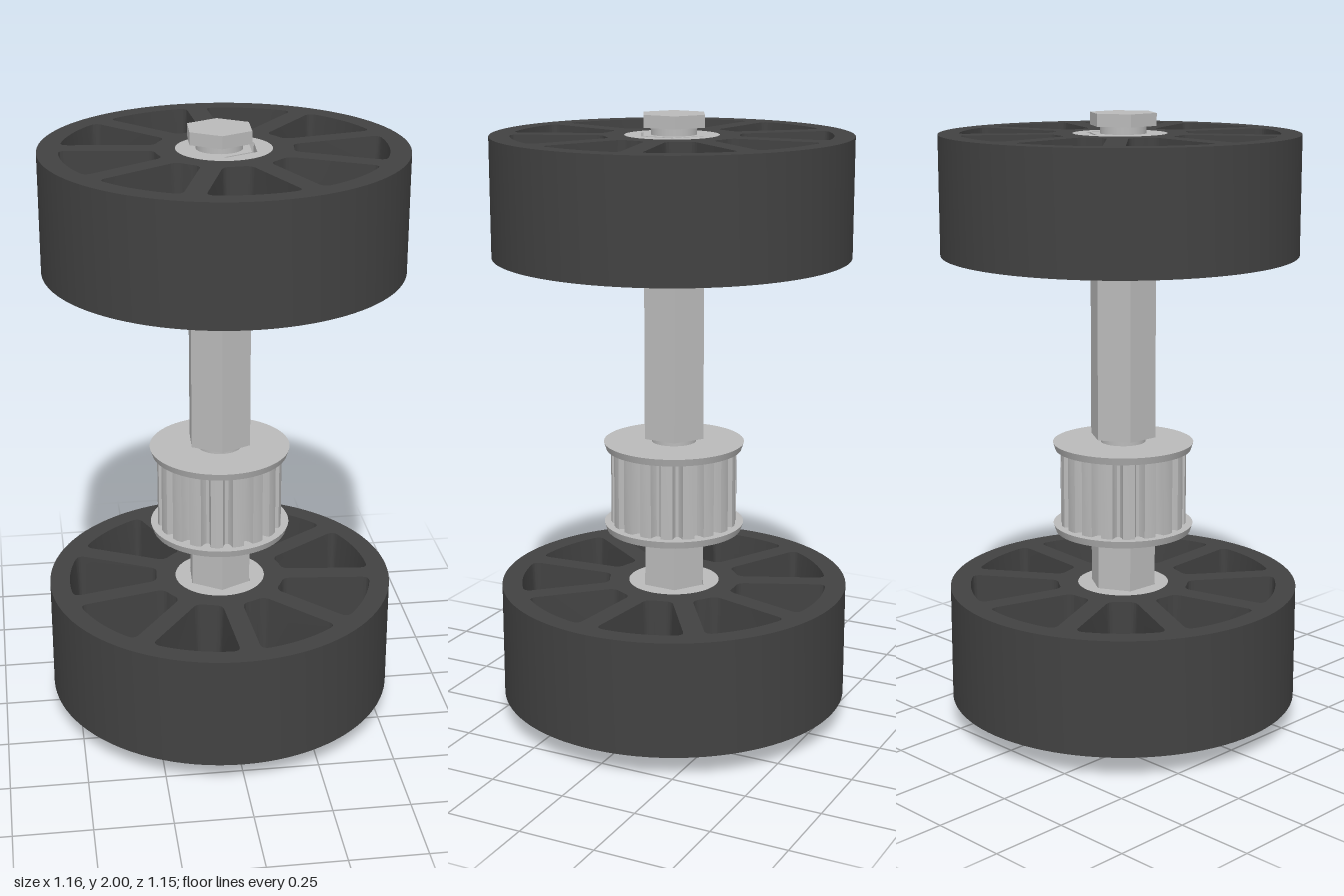
import * as THREE from 'three';
import { toCreasedNormals } from 'three/addons/utils/BufferGeometryUtils.js';

const rubber = new THREE.MeshStandardMaterial({ color: 0x424242 });
rubber.name = 'dark rubber';
const metal = new THREE.MeshStandardMaterial({ color: 0xbababa });
metal.name = 'light metal';

const AXIS_X = -0.01;
const HEX_TURN = -0.05;
const WHEEL_R = 0.573, WHEEL_H = 0.38, HUB_R = 0.15, WEB_R = 0.54;
const SPOKES = 9;

function addMesh(parent, name, geometry, material, y = 0) {
  const mesh = new THREE.Mesh(geometry, material);
  mesh.name = name;
  mesh.position.y = y;
  parent.add(mesh);
  return mesh;
}

// Extrude a plan shape upward; the optional draft tapers holes toward mid height
function extrudeUp(shape, height, draft = 0) {
  const mid = draft ? 0.02 : height;
  const thick = (height - mid) / 2;
  const g = new THREE.ExtrudeGeometry(shape, {
    depth: mid, curveSegments: 48, bevelEnabled: draft > 0,
    bevelThickness: thick, bevelSize: draft, bevelSegments: 1,
  });
  g.translate(0, 0, thick);
  g.rotateX(-Math.PI / 2);
  return toCreasedNormals(g, 0.5);
}

function circle(r, Type = THREE.Shape) {
  const path = new Type();
  path.absarc(0, 0, r, 0, Math.PI * 2, false);
  return path;
}

// Rounded window between two constant-width spokes
function windowPath(middle) {
  const inner = 0.215, outer = 0.507, halfSpoke = 0.033, c = 0.028;
  const half = r => Math.PI / SPOKES - Math.asin(halfSpoke / r);
  const at = (r, a) => [r * Math.cos(middle + a), r * Math.sin(middle + a)];
  const ho = half(outer), hi = half(inner), co = c / outer, ci = c / inner;
  const p = new THREE.Path();
  p.moveTo(...at(outer, -ho + co));
  p.absarc(0, 0, outer, middle - ho + co, middle + ho - co, false);
  p.quadraticCurveTo(...at(outer, ho), ...at(outer - c, half(outer - c)));
  p.lineTo(...at(inner + c, half(inner + c)));
  p.quadraticCurveTo(...at(inner, hi), ...at(inner, hi - ci));
  p.absarc(0, 0, inner, middle + hi - ci, middle - hi + ci, true);
  p.quadraticCurveTo(...at(inner, -hi), ...at(inner + c, -half(inner + c)));
  p.lineTo(...at(outer - c, -half(outer - c)));
  p.quadraticCurveTo(...at(outer, -ho), ...at(outer, -ho + co));
  return p;
}

function makeWheel(name, x, y, spokeDegrees) {
  const wheel = new THREE.Group();
  wheel.name = name;
  wheel.position.set(x, y, 0);

  // Tyre band
  const tyre = circle(WHEEL_R);
  tyre.holes.push(circle(WEB_R, THREE.Path));
  addMesh(wheel, 'tyre', extrudeUp(tyre, WHEEL_H), rubber);

  // Spoked web
  const web = circle(WEB_R);
  web.holes.push(circle(HUB_R, THREE.Path));
  for (let i = 0; i < SPOKES; i++) {
    const middle = THREE.MathUtils.degToRad(spokeDegrees) + (i + 0.5) * 2 * Math.PI / SPOKES;
    web.holes.push(windowPath(middle));
  }
  addMesh(wheel, 'spokes', extrudeUp(web, WHEEL_H, 0.008), rubber);

  // Metal hub with a hexagonal bore
  const hub = circle(HUB_R);
  const bore = [];
  for (let i = 0; i < 6; i++) {
    const a = Math.PI / 2 + HEX_TURN + i * Math.PI / 3;
    bore.push(new THREE.Vector2(0.112 * Math.cos(a), 0.112 * Math.sin(a)));
  }
  hub.holes.push(new THREE.Path(bore));
  addMesh(wheel, 'hub', extrudeUp(hub, WHEEL_H), metal);
  return wheel;
}

// Hexagonal shaft with turned grooves between its sections
function makeShaft() {
  const shaft = new THREE.Group();
  shaft.name = 'shaft';
  shaft.rotation.y = HEX_TURN;
  for (const [low, high] of [[0, 0.05], [0.075, 0.933], [0.957, 1.935], [1.96, 2]]) {
    const g = new THREE.CylinderGeometry(0.11, 0.11, high - low, 6).toNonIndexed();
    g.computeVertexNormals();
    addMesh(shaft, 'hexSection', g, metal, (low + high) / 2);
  }
  for (const [low, high] of [[0.05, 0.075], [0.933, 0.957], [1.935, 1.96]]) {
    addMesh(shaft, 'groove', new THREE.CylinderGeometry(0.073, 0.073, high - low, 32), metal, (low + high) / 2);
  }
  return shaft;
}

// Toothed belt pulley between two flanges
function makePulley() {
  const pulley = new THREE.Group();
  pulley.name = 'pulley';
  const teeth = 18, pitch = 2 * Math.PI / teeth;
  const profile = [[-0.27, 0.205], [0, 0.207], [0.27, 0.205], [0.33, 0.187], [0.42, 0.177], [0.58, 0.177], [0.67, 0.187]];
  const points = [];
  for (let i = 0; i < teeth; i++) {
    for (const [t, r] of profile) {
      const a = (i + t) * pitch;
      points.push(new THREE.Vector2(r * Math.cos(a), r * Math.sin(a)));
    }
  }
  addMesh(pulley, 'teeth', extrudeUp(new THREE.Shape(points), 0.26), metal, 0.658);
  addMesh(pulley, 'lowerFlange', new THREE.CylinderGeometry(0.23, 0.222, 0.024, 64), metal, 0.65);
  addMesh(pulley, 'upperFlange', new THREE.CylinderGeometry(0.23, 0.222, 0.024, 64), metal, 0.925);
  return pulley;
}

export function createModel() {
  const model = new THREE.Group();
  model.name = 'rollerAxle';
  const shaft = makeShaft();
  const pulley = makePulley();
  shaft.position.x = pulley.position.x = AXIS_X;
  model.add(shaft, pulley);
  model.add(makeWheel('lowerWheel', -0.01, 0.075, 34));
  model.add(makeWheel('upperWheel', 0.004, 1.555, 13));
  return model;
}
